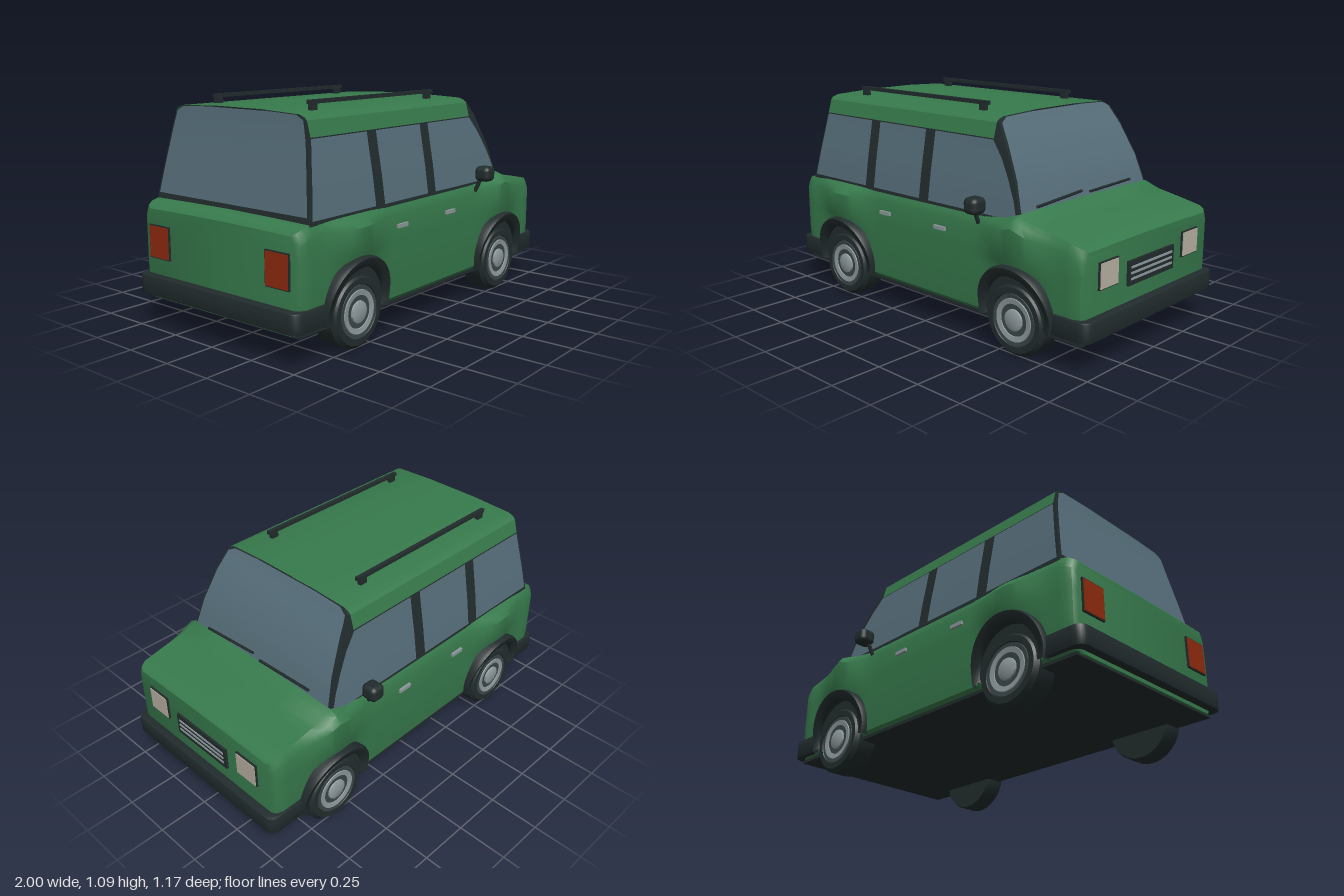
import * as THREE from 'three';
import { toCreasedNormals } from 'three/addons/utils/BufferGeometryUtils.js';
import { RoundedBoxGeometry } from 'three/addons/geometries/RoundedBoxGeometry.js';

const mat = (name, color, side = THREE.FrontSide) => {
  const m = new THREE.MeshStandardMaterial({ color, side });
  m.name = name;
  return m;
};

// Piecewise linear curve through [input, output] pairs
const curve = (pts) => (t) => {
  if (t <= pts[0][0]) return pts[0][1];
  for (let i = 1; i < pts.length; i++) {
    const [a, va] = pts[i - 1], [b, vb] = pts[i];
    if (t <= b) return va + (vb - va) * (t - a) / (b - a);
  }
  return pts[pts.length - 1][1];
};

// Surface through rows of points
function loft(rows, crease = 0.6) {
  const n = rows[0].length, index = [];
  for (let i = 0; i < rows.length - 1; i++)
    for (let j = 0; j < n - 1; j++) {
      const a = i * n + j, b = a + n;
      index.push(a, b, a + 1, b, b + 1, a + 1);
    }
  const g = new THREE.BufferGeometry();
  g.setAttribute('position', new THREE.Float32BufferAttribute(rows.flat(2), 3));
  g.setIndex(index);
  return toCreasedNormals(g, crease);
}

const range = (a, b, n) => Array.from({ length: n + 1 }, (_, i) => a + (b - a) * i / n);

export function createModel() {
  const D = THREE.DoubleSide;
  const paint = mat('green paint', 0x377a4c, D);
  const trim = mat('black trim', 0x222c2d, D);
  const glass = mat('blue grey glass', 0x566e7a, D);
  const metal = mat('light metal', 0x8f9a9d, D);
  const rimGrey = mat('dark rim', 0x3a4648, D);
  const lampMat = mat('headlamp cream', 0xb9b0a3);
  const tailMat = mat('tail lamp red', 0x8f2a0e);

  const car = new THREE.Group();
  car.name = 'car';
  const add = (name, geo, m, x = 0, y = 0, z = 0, parent = car) => {
    const mesh = new THREE.Mesh(geo, m);
    mesh.name = name;
    mesh.position.set(x, y, z);
    parent.add(mesh);
    return mesh;
  };
  const box = (name, m, x, y, z, w, h, d) => add(name, new THREE.BoxGeometry(w, h, d), m, x, y, z);
  const rod = (name, m, a, b, r) => {
    const path = new THREE.LineCurve3(new THREE.Vector3(...a), new THREE.Vector3(...b));
    return add(name, new THREE.TubeGeometry(path, 1, r, 6), m);
  };

  // Lower body: cross-sections along x, swelling over the wheels
  const top = curve([[-0.96, 0.565], [-0.94, 0.588], [-0.88, 0.603], [0.42, 0.608], [0.52, 0.622],
    [0.6, 0.645], [0.68, 0.615], [0.8, 0.592], [0.92, 0.567], [0.945, 0.558], [0.96, 0.542]]);
  const section = (x, inset) => {
    const d = Math.min(1, Math.abs(Math.abs(x) - 0.6) / 0.25);
    const b = 0.042 * Math.cos(d * Math.PI / 2) ** 2, w = 0.505 - inset, t = top(x);
    const half = [[0, 0.14], [w - 0.03, 0.14], [w - 0.01, 0.165], [w, 0.3], [w, 0.37], [w + b, 0.44],
      [w + b, t - 0.05], [w + 0.7 * b - 0.01, t - 0.02], [w - 0.02, t], [0.25, t + 0.004], [0, t + 0.006]];
    const other = half.slice(0, -1).reverse().map(([z, y]) => [-z, y]);
    return [...half, ...other].map(([z, y]) => [x, y, z]);
  };
  const ends = [[0.92, 0], [0.948, 0.012], [0.96, 0.032]];
  const flat = (s) => s.map(([x, y]) => [x, y, 0]);
  const back = ends.map(([x, i]) => section(-x, i)).reverse();
  const front = ends.map(([x, i]) => section(x, i));
  const mid = range(-0.88, 0.88, 44).map((x) => section(x, 0));
  add('body', loft([flat(back[0]), ...back, ...mid, ...front, flat(front[2])]), paint);
  box('underbody', trim, 0, 0.14, 0, 1.9, 0.016, 0.965);

  // Cabin: dark frame with glass and roof laid over it
  const hw = curve([[0.59, 0.49], [0.75, 0.466], [0.87, 0.444], [0.95, 0.43], [1.02, 0.41], [1.04, 0.37], [1.048, 0.15]]);
  const xf = curve([[0.59, 0.612], [0.64, 0.598], [0.78, 0.552], [0.93, 0.475], [1.0, 0.428], [1.048, 0.4]]);
  const xr = curve([[0.59, -0.885], [0.95, -0.822], [1.048, -0.81]]);
  const heights = [0.59, 0.64, 0.7, 0.78, 0.87, 0.95, 1.0, 1.02, 1.04, 1.048];
  const frame = heights.map((y) => {
    const a = xr(y), b = xf(y), w = hw(y);
    return [[a, y, w], [b, y, w], [b, y, -w], [a, y, -w], [a, y, w]];
  });
  add('cabinFrame', loft(frame), trim);

  const roofEdge = [[0.433, 0.95], [0.414, 1.02], [0.4, 1.033], [0.37, 1.043], [0.15, 1.052]];
  const roofLine = [...roofEdge, ...roofEdge.slice().reverse().map(([z, y]) => [-z, y])];
  add('roof', loft([-0.812, 0.402].map((x) => roofLine.map(([z, y]) => [x, y, z])), 0.3), paint);

  const screenY = [0.63, 0.7, 0.78, 0.87, 0.93, 1.0, 1.02, 1.04, 1.046];
  const screen = (xAt, off) => loft(screenY.map((y) => {
    const w = hw(y) - 0.012;
    return [[xAt(y) + off, y, w], [xAt(y) + off, y, -w]];
  }));
  add('windscreen', screen(xf, 0.004), glass);
  add('rearWindow', screen(xr, -0.004), glass);

  const glassFront = curve([[0.615, 0.59], [0.7, 0.56], [0.78, 0.52], [0.87, 0.464], [0.945, 0.4]]);
  const panes = [[(y) => xr(y) + 0.012, () => -0.445], [() => -0.38, () => -0.04], [() => 0.025, glassFront]];
  const sideY = [0.615, 0.7, 0.75, 0.78, 0.87, 0.945];
  for (const s of [1, -1])
    for (const [from, to] of panes)
      add('sideWindow', loft(sideY.map((y) => [from, to].map((f) => [f(y), y, s * (hw(y) + 0.004)]))), glass);

  // Wheels with arches; built for +z and turned round for the other side
  const v2 = (pts) => pts.map(([r, h]) => new THREE.Vector2(r, h));
  const lathe = (pts) => toCreasedNormals(new THREE.LatheGeometry(v2(pts), 40).rotateX(Math.PI / 2), 0.5);
  const tyreGeo = lathe([[0, 0.4], [0.165, 0.4], [0.17, 0.41], [0.17, 0.5], [0.152, 0.52], [0.125, 0.52], [0.122, 0.513], [0, 0.513]]);
  const rimGeo = lathe([[0.122, 0.513], [0.12, 0.519], [0.106, 0.517], [0.05, 0.514]]);
  const ringGeo = lathe([[0.102, 0.514], [0.1, 0.522], [0.076, 0.519], [0.074, 0.512]]);
  const hubGeo = lathe([[0.052, 0.51], [0.05, 0.522], [0.038, 0.527], [0, 0.528]]);
  const flareRows = range(-0.28, Math.PI + 0.28, 32).map((a) => {
    const z = 0.525 + 0.043 * Math.max(0, Math.sin(a));
    return [[0.21, 0.45], [0.218, z - 0.02], [0.21, z], [0.18, z - 0.008], [0.168, z - 0.02], [0.166, 0.45]]
      .map(([r, d]) => [r * Math.cos(a), 0.21 + r * Math.sin(a), d]);
  });
  const flareGeo = loft(flareRows, 0.7);
  const wellGeo = new THREE.CircleGeometry(0.19, 32, -0.28, Math.PI + 0.56);
  for (const x of [-0.6, 0.6])
    for (const turn of [0, Math.PI]) {
      const corner = new THREE.Group();
      corner.name = 'wheelCorner';
      corner.position.x = x;
      corner.rotation.y = turn;
      car.add(corner);
      add('tyre', tyreGeo, trim, 0, 0.17, 0, corner);
      add('rim', rimGeo, rimGrey, 0, 0.17, 0, corner);
      add('rimRing', ringGeo, metal, 0, 0.17, 0, corner);
      add('hub', hubGeo, metal, 0, 0.17, 0, corner);
      add('wheelArch', flareGeo, trim, 0, 0, 0, corner);
      add('wheelWell', wellGeo, trim, 0, 0.21, 0.51, corner);
    }

  // Wrap-around bumpers, rounded at the corners
  const w = 0.505, r = 0.045;
  const u = new THREE.Shape();
  u.moveTo(0.815, -w);
  u.lineTo(0.992 - r, -w);
  u.quadraticCurveTo(0.992, -w, 0.992, -w + r);
  u.lineTo(0.992, w - r);
  u.quadraticCurveTo(0.992, w, 0.992 - r, w);
  u.lineTo(0.815, w);
  u.lineTo(0.815, 0.47);
  u.lineTo(0.93, 0.47);
  u.lineTo(0.93, -0.47);
  u.lineTo(0.815, -0.47);
  const bumperGeo = toCreasedNormals(new THREE.ExtrudeGeometry(u, {
    depth: 0.08, bevelEnabled: true, bevelSize: 0.008, bevelThickness: 0.008, bevelSegments: 2, curveSegments: 8,
  }).rotateX(-Math.PI / 2), 0.6);
  add('frontBumper', bumperGeo, trim, 0, 0.166, 0);
  add('rearBumper', bumperGeo, trim, 0, 0.166, 0).rotation.y = Math.PI;

  // Lamps and grille
  for (const s of [1, -1]) {
    box('headlampFrame', trim, 0.963, 0.425, s * 0.323, 0.012, 0.124, 0.136);
    box('headlamp', lampMat, 0.968, 0.425, s * 0.323, 0.009, 0.114, 0.126);
    box('tailLampFrame', trim, -0.963, 0.413, s * 0.38, 0.012, 0.16, 0.14);
    box('tailLamp', tailMat, -0.968, 0.413, s * 0.38, 0.009, 0.15, 0.13);
  }
  box('grille', trim, 0.964, 0.387, 0, 0.014, 0.114, 0.362);
  for (const y of [0.36, 0.387, 0.414]) box('grilleSlat', metal, 0.97, y, 0, 0.01, 0.01, 0.326);

  // Mirrors, handles and roof rails on both sides
  for (const s of [1, -1]) {
    add('mirror', new RoundedBoxGeometry(0.08, 0.078, 0.085, 2, 0.025), trim, 0.39, 0.663, s * 0.545);
    rod('mirrorStalk', trim, [0.37, 0.57, s * 0.5], [0.375, 0.645, s * 0.535], 0.01);
    for (const x of [-0.272, 0.125]) box('doorHandle', metal, x, 0.503, s * 0.508, 0.075, 0.018, 0.018);
    box('roofRail', trim, -0.217, 1.082, s * 0.3, 0.925, 0.018, 0.02);
    for (const x of [-0.65, 0.21]) box('railFoot', trim, x, 1.06, s * 0.3, 0.04, 0.036, 0.02);
  }

  // Wipers
  rod('leftWiper', trim, [0.605, 0.66, 0.37], [0.597, 0.677, 0.04], 0.007);
  rod('rightWiper', trim, [0.605, 0.666, -0.015], [0.599, 0.672, -0.345], 0.007);

  return car;
}
